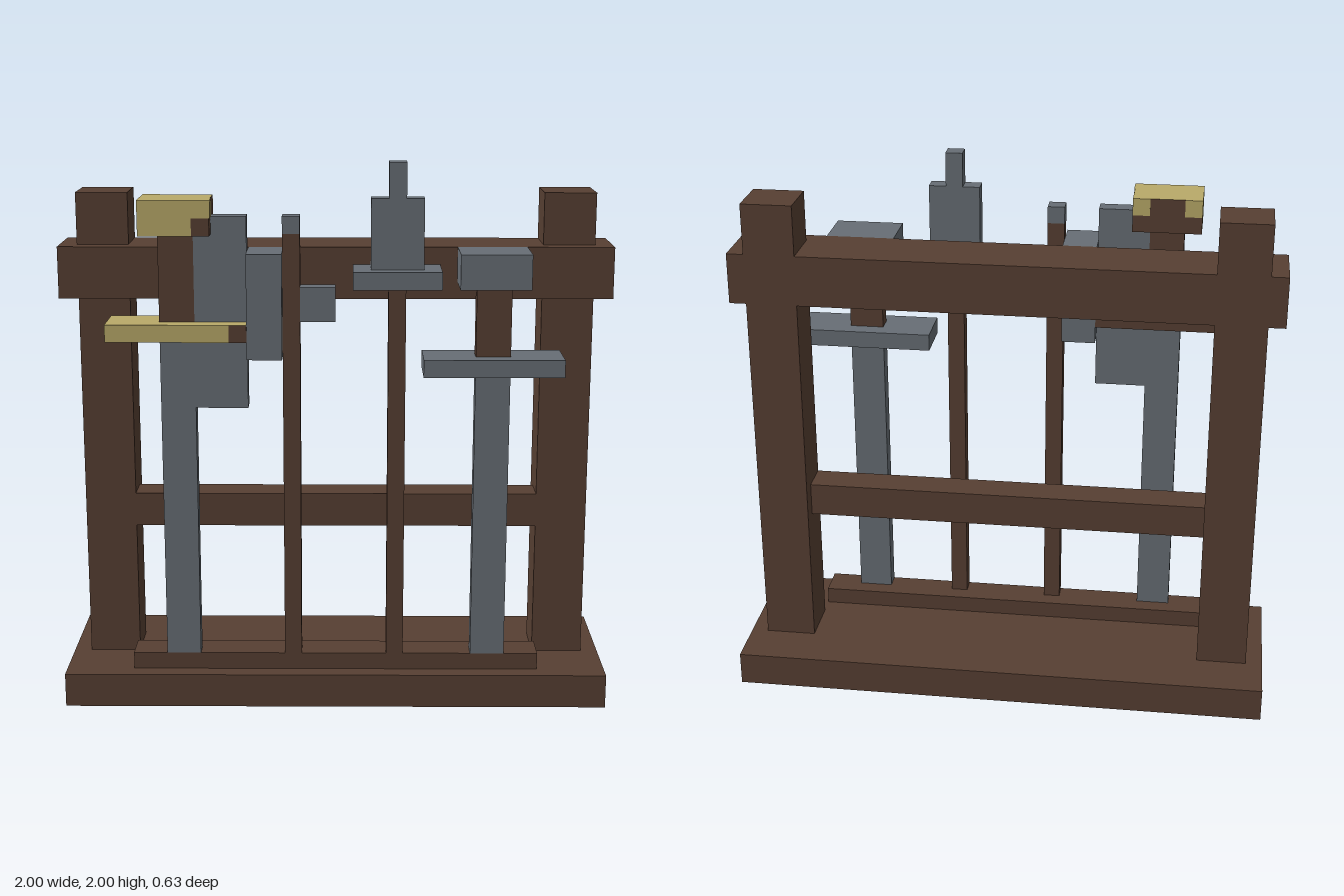
import * as THREE from 'three';

const mat = (name, color) => {
  const m = new THREE.MeshStandardMaterial({ color });
  m.name = name;
  return m;
};

export function createModel() {
  const wood = mat('dark wood', 0x573f32);
  const steel = mat('steel', 0x676e75);
  const brass = mat('brass', 0xb9aa69);

  const root = new THREE.Group();
  root.name = 'weaponRack';
  const group = (name) => {
    const g = new THREE.Group();
    g.name = name;
    root.add(g);
    return g;
  };

  // Box between two corners, measured in sixteenths of a unit
  const box = (parent, name, material, [x0, x1], [y0, y1], [z0, z1]) => {
    const s = 1 / 16;
    const mesh = new THREE.Mesh(
      new THREE.BoxGeometry((x1 - x0) * s, (y1 - y0) * s, (z1 - z0) * s), material);
    mesh.position.set((x0 + x1) * s / 2, (y0 + y1) * s / 2, (z0 + z1) * s / 2);
    mesh.name = name;
    parent.add(mesh);
    return mesh;
  };
  const thin = [3, 4];
  const wide = [2, 5];
  const p = 0.05; // thickness of painted plates, in sixteenths

  // Frame
  const frame = group('frame');
  box(frame, 'base', wood, [-16, 16], [0, 2], [-5, 5]);
  for (const side of [-1, 1]) {
    box(frame, side < 0 ? 'rightPost' : 'leftPost', wood,
      [side * 13.5 - 1.5, side * 13.5 + 1.5], [2, 30], [-2, 1]);
  }
  box(frame, 'topBeam', wood, [-16, 16], [24, 27], [-2, 2]);
  box(frame, 'middleRail', wood, [-12, 12], [10, 12], [-1, 1]);
  box(frame, 'restStrip', wood, [-12, 12], [2, 3], [2, 4]);

  // Sword with brass fittings
  const brassSword = group('brassSword');
  box(brassSword, 'blade', steel, [-10, -8], [3, 22], thin);
  // box sides in order: +x, -x, top, bottom, front, back
  box(brassSword, 'guard', [wood, brass, brass, wood, brass, wood], [-13, -5], [22, 23], wide);
  box(brassSword, 'guardEnd', wood, [-6, -5], [22, 23], [5, 5 + p]);
  box(brassSword, 'grip', wood, [-10, -8], [23, 28], thin);
  box(brassSword, 'pommel', [wood, brass, brass, wood, brass, wood], [-11, -7], [28, 30], wide);
  box(brassSword, 'pommelFrontPatch', wood, [-8, -7], [28, 29], [5, 5 + p]);
  box(brassSword, 'pommelSidePatch', brass, [-7, -7 + p], [29, 30], [4, 5]);
  for (const x of [-11, -8]) {
    box(brassSword, 'pommelBackPatch', brass, [x, x + 1], [29, 30], [2 - p, 2]);
  }

  // Axe
  const axe = group('axe');
  box(axe, 'handle', wood, [-3, -2], [3, 28], thin);
  box(axe, 'cap', steel, [-3, -2], [28, 29], thin);
  box(axe, 'head', steel, [-5, -3], [21, 27], wide);
  box(axe, 'edge', steel, [-8, -5], [18, 29], thin);
  box(axe, 'poll', steel, [-2, 0], [23, 25], thin);

  // Spear
  const spear = group('spear');
  box(spear, 'shaft', wood, [3, 4], [3, 25], thin);
  box(spear, 'crossbar', steel, [1, 6], [25, 26], wide);
  box(spear, 'blade', steel, [2, 5], [26, 30], thin);
  box(spear, 'tip', steel, [3, 4], [30, 32], thin);

  // Steel sword
  const steelSword = group('steelSword');
  box(steelSword, 'blade', steel, [8, 10], [3, 20], thin);
  box(steelSword, 'guard', steel, [5, 13], [20, 21], wide);
  box(steelSword, 'grip', wood, [8, 10], [21, 25], thin);
  box(steelSword, 'pommel', steel, [7, 11], [25, 27], wide);

  return root;
}
